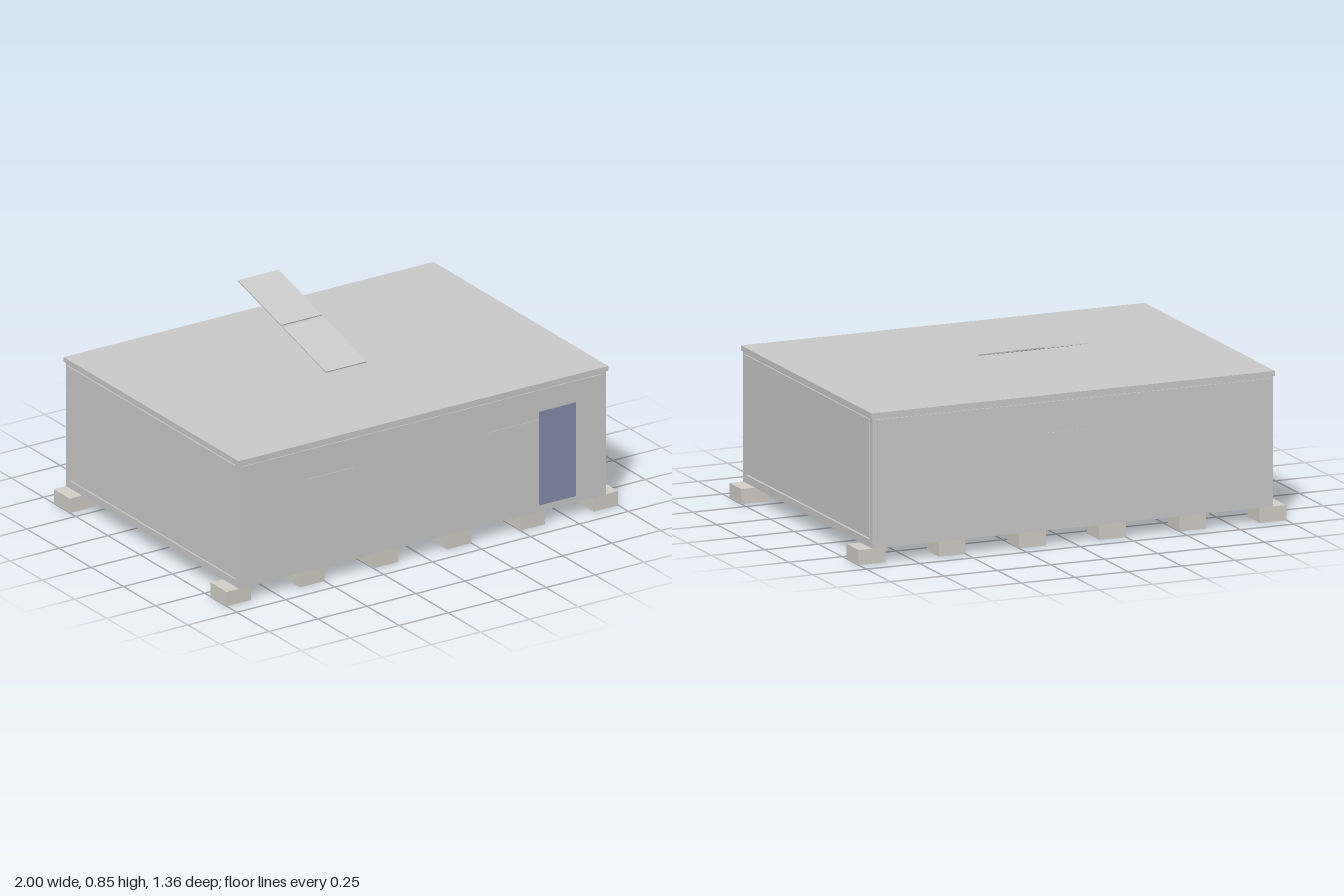
import * as THREE from 'three';

const mat = (color) => new THREE.MeshStandardMaterial({ color, flatShading: true });

export function createModel() {
  const model = new THREE.Group();
  const grey = mat(0xcccccc);
  const concrete = mat(0xd2d0c7);
  const floorMat = mat(0xcfc8b6);
  const blue = mat(0x848eab);

  // Box given by its minimum and maximum on each axis
  const box = (name, [x0, x1], [y0, y1], [z0, z1], material = grey) => {
    const mesh = new THREE.Mesh(new THREE.BoxGeometry(x1 - x0, y1 - y0, z1 - z0), material);
    mesh.position.set((x0 + x1) / 2, (y0 + y1) / 2, (z0 + z1) / 2);
    mesh.name = name;
    model.add(mesh);
    return mesh;
  };

  // Foundation blocks: six along each long side
  for (const side of [-1, 1]) {
    for (let i = 0; i < 6; i++) {
      const x = -0.9375 + i * 0.375;
      const z = side * 0.608;
      box('foundationBlock', [x - 0.0625, x + 0.0625], [0, 0.066], [z - 0.0625, z + 0.0625], concrete);
    }
  }

  // Floor in three plates with narrow joints
  for (let i = -1; i <= 1; i++) {
    const x = i * 0.618;
    box('floorPlate', [x - 0.307, x + 0.307], [0.066, 0.1], [-0.665, 0.665], floorMat);
  }

  // Steel frame: corner posts, bottom rails and top rails
  for (const s of [-1, 1]) {
    for (const t of [-1, 1]) {
      const px = s * 0.9225, pz = t * 0.6575;
      box('cornerPost', [px - 0.0145, px + 0.0145], [0.066, 0.642], [pz - 0.0145, pz + 0.0145]);
    }
    for (const [y0, y1] of [[0.066, 0.1], [0.625, 0.642]]) {
      const z = s * 0.6575, x = s * 0.9225;
      box('longRail', [-0.93, 0.93], [y0, y1], [z - 0.0145, z + 0.0145]);
      box('shortRail', [x - 0.0145, x + 0.0145], [y0, y1], [-0.67, 0.67]);
    }
  }

  // Wall panels, standing slightly proud of the frame
  for (const s of [-1, 1]) {
    const z = s * 0.662, x = s * 0.926;
    box('longWall', [-0.915, 0.915], [0.1, 0.63], [z - 0.014, z + 0.014]);
    box('endWall', [x - 0.017, x + 0.017], [0.11, 0.63], [-0.65, 0.65]);
  }

  // Roof slab
  box('roof', [-0.944, 0.944], [0.64, 0.662], [-0.679, 0.679]);

  // Door and near-flush windows
  box('door', [0.593, 0.778], [0.098, 0.532], [0.66, 0.68], blue);
  for (const [x, z] of [[-0.47, 0.668], [0.465, 0.668], [0, -0.668]]) {
    box('window', [x - 0.125, x + 0.125], [0.28, 0.495], [z - 0.01, z + 0.01]);
  }

  // Two sloping roof panels, rising towards the back
  for (const [y, z] of [[0.711, -0.083], [0.804, -0.432]]) {
    const panel = new THREE.Mesh(new THREE.BoxGeometry(0.207, 0.006, 0.345), grey);
    panel.name = 'solarPanel';
    panel.position.set(-0.003, y, z);
    panel.rotation.x = Math.PI / 12;
    model.add(panel);
  }

  return model;
}
